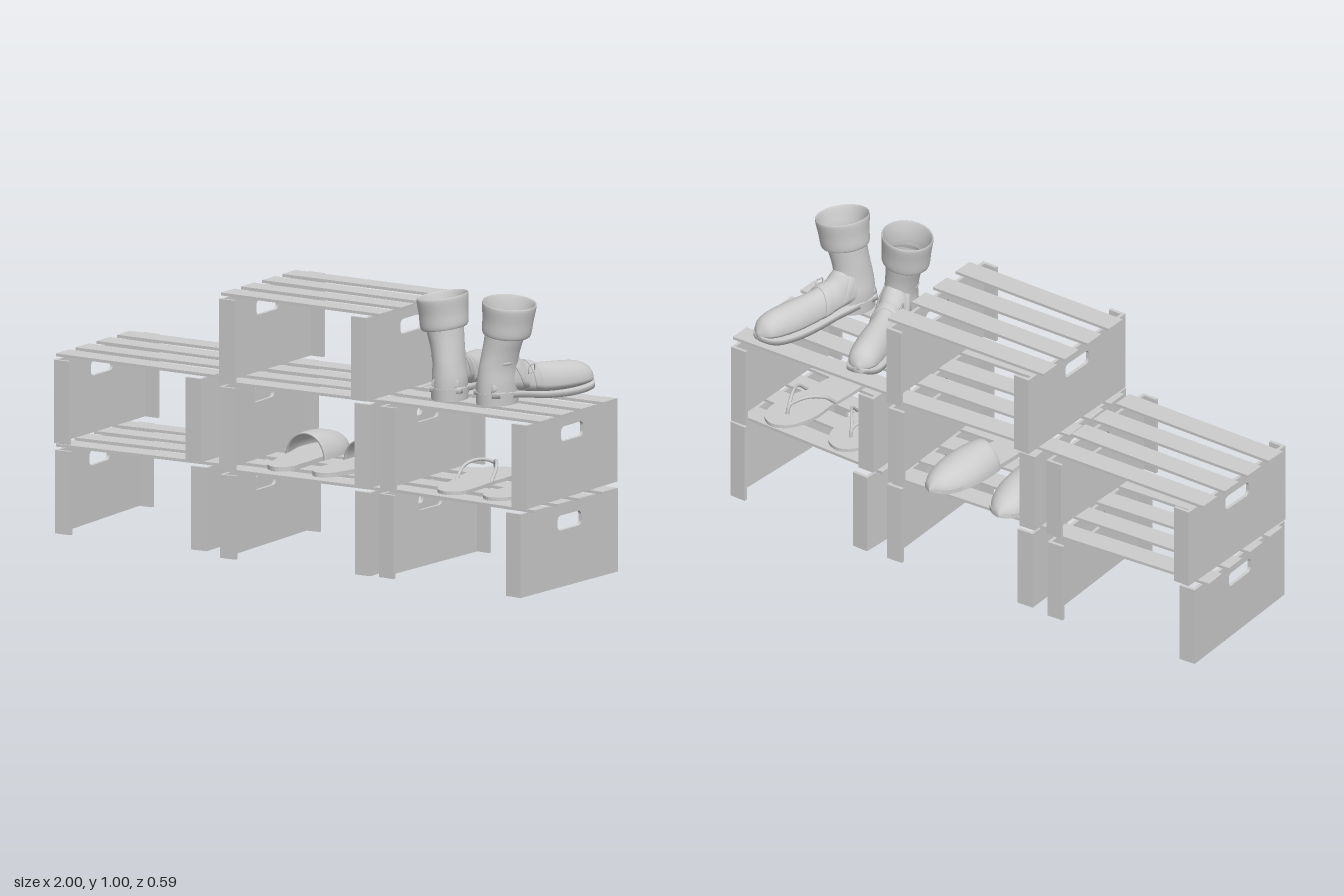
import * as THREE from 'three';

const grey = new THREE.MeshStandardMaterial({ color: 0xcccccc, side: THREE.DoubleSide });
const rad = THREE.MathUtils.degToRad;

function add(parent, name, geo, x = 0, y = 0, z = 0) {
  const m = new THREE.Mesh(geo, grey);
  m.name = name;
  m.position.set(x, y, z);
  parent.add(m);
  return m;
}

// Skin a list of rings (arrays of [x, y, z]); optionally cap both ends
function loft(rings, { closed = true, caps = false } = {}) {
  const n = rings[0].length, pos = rings.flat(2), idx = [];
  for (let r = 0; r < rings.length - 1; r++)
    for (let i = 0; i < (closed ? n : n - 1); i++) {
      const a = r * n + i, b = r * n + (i + 1) % n;
      idx.push(a, b, a + n, b, b + n, a + n);
    }
  if (caps) for (const r of [0, rings.length - 1]) {
    const c = pos.length / 3;
    for (let k = 0; k < 3; k++) pos.push(rings[r].reduce((s, p) => s + p[k], 0) / n);
    for (let i = 0; i < n; i++) {
      const a = r * n + i, b = r * n + (i + 1) % n;
      r ? idx.push(a, b, c) : idx.push(b, a, c);
    }
  }
  const g = new THREE.BufferGeometry();
  g.setAttribute('position', new THREE.Float32BufferAttribute(pos, 3));
  g.setIndex(idx);
  g.computeVertexNormals();
  return g;
}

const ring = (fn, n = 32, span = Math.PI * 2, closed = true) =>
  Array.from({ length: closed ? n : n + 1 }, (_, i) => fn(Math.cos(span * i / n), Math.sin(span * i / n)));

// Smoothly sample rows of numbers, u from 0 to 1
function sample(rows, u) {
  const f = u * (rows.length - 1), i = Math.min(Math.floor(f), rows.length - 2), t = f - i;
  return rows[i].map((_, k) => {
    const p = j => rows[THREE.MathUtils.clamp(j, 0, rows.length - 1)][k];
    const a = (p(i + 1) - p(i - 1)) / 2, b = (p(i + 2) - p(i)) / 2, d = p(i + 1) - p(i);
    return p(i) + a * t + (3 * d - 2 * a - b) * t * t + (a + b - 2 * d) * t * t * t;
  });
}
const steps = (n, fn) => Array.from({ length: n + 1 }, (_, i) => fn(i / n));

// Side panel with a rounded hand hole, in the z-y plane
function panelGeometry(h) {
  const s = new THREE.Shape([[-0.28, 0], [0.28, 0], [0.28, h], [-0.28, h]].map(p => new THREE.Vector2(...p)));
  const hole = new THREE.Path(), w = 0.068, y = h - 0.067, k = 0.026, r = 0.017;
  for (const [sx, sy, a] of [[1, 1, 0], [-1, 1, 90], [-1, -1, 180], [1, -1, 270]])
    hole.absarc(sx * (w - r), y + sy * (k - r), r, rad(a), rad(a + 90), false);
  s.holes.push(hole);
  return new THREE.ExtrudeGeometry(s, { depth: 0.012, bevelEnabled: false, curveSegments: 6 })
    .translate(0, 0, -0.006).rotateY(Math.PI / 2);
}

// Crate: two channel-shaped sides carrying four slats
function crate(x, y, yaw) {
  const g = new THREE.Group(), h = 0.29;
  g.name = 'crate';
  for (const s of [-1, 1]) {
    add(g, 'sidePanel', panelGeometry(h), s * 0.294);
    for (const f of [-1, 1])
      add(g, 'cornerFlange', new THREE.BoxGeometry(0.062, h, 0.012), s * 0.269, h / 2, f * 0.274);
  }
  [-0.192, -0.062, 0.065, 0.192].forEach((z, i) => {
    add(g, 'slat', new THREE.BoxGeometry(0.65, 0.01, 0.08), 0, h + 0.005, z)
      .rotation.y = rad([0.6, -0.4, 0.3, -0.5][i]);
  });
  g.position.set(x, y, 0);
  g.rotation.y = rad(yaw);
  return g;
}

// Boot, toe towards -z. Foot rows: z, half width, top, bottom
const FOOT = [[0.06, 0.048, 0.09, 0.045], [0, 0.054, 0.16, 0.042], [-0.06, 0.054, 0.178, 0.036], [-0.11, 0.05, 0.14, 0.028],
  [-0.18, 0.052, 0.122, 0.018], [-0.27, 0.058, 0.115, 0.014], [-0.35, 0.056, 0.106, 0.018], [-0.395, 0.043, 0.086, 0.026], [-0.42, 0.008, 0.05, 0.034]];
function footRing(u, grow = 0) {
  const [z, w, top, bot] = sample(FOOT, u), mid = bot + (top - bot) * 0.3;
  return ring((c, s) => [c * (w + grow), mid + s * (s > 0 ? top - mid + grow : mid - bot), z]);
}
function boot(x, z, yaw, side) {
  const g = new THREE.Group();
  g.name = 'boot';
  add(g, 'bootFoot', loft(steps(40, u => footRing(u)), { caps: true }));
  // Welted sole following the foot outline
  add(g, 'bootSole', loft(steps(30, u => {
    const [zz, w, , bot] = sample(FOOT, u), e = w + 0.006, b = bot + 0.008;
    return [[-e, b - 0.02, zz], [e, b - 0.02, zz], [e, b, zz], [-e, b, zz]];
  }), { caps: true }));
  add(g, 'bootHeel', new THREE.CylinderGeometry(0.064, 0.062, 0.042, 32), 0, 0.026, 0).scale.z = 1.25;
  // Leg and folded cuff, rows: y, centre x, centre z, radius x, radius z
  const tube = (rows, tilt) => loft(steps(rows.length * 6, u => {
    const [y, cx, cz, rx, rz] = sample(rows, u);
    return ring((c, s) => [cx + c * rx, y - tilt * c * rx, cz + s * rz], 40);
  }));
  add(g, 'bootLeg', tube([[0.04, 0, 0, 0.06, 0.077], [0.08, 0, 0, 0.06, 0.076], [0.13, 0.003, -0.002, 0.056, 0.073],
    [0.18, 0.01, -0.007, 0.058, 0.07], [0.23, 0.02, -0.014, 0.063, 0.072], [0.29, 0.03, -0.022, 0.068, 0.078]], 0));
  add(g, 'bootCuff', tube([[0.27, 0.026, -0.02, 0.064, 0.072], [0.246, 0.025, -0.02, 0.074, 0.08], [0.256, 0.026, -0.02, 0.082, 0.086],
    [0.3, 0.03, -0.023, 0.084, 0.09], [0.347, 0.034, -0.025, 0.088, 0.097], [0.352, 0.034, -0.025, 0.083, 0.092],
    [0.3, 0.03, -0.022, 0.07, 0.08], [0.2, 0.015, -0.01, 0.056, 0.066]], 0.15));
  // Insole closes the inside of the leg
  add(g, 'insole', new THREE.SphereGeometry(0.055, 20, 10), 0.01, 0.15, 0).scale.y = 0.3;
  // Instep straps and buckle
  for (const [u, lean] of [[0.22, 0.5], [0.4, 0.15]]) {
    const at = (v, o) => footRing(v, o).map(([a, b, c]) => [a, b, c + lean * (b - 0.12)]);
    add(g, 'strap', loft([at(u, 0), at(u, 0.006), at(u + 0.055, 0.006), at(u + 0.055, 0)]));
  }
  const buckle = add(g, 'buckle', new THREE.TorusGeometry(0.02, 0.003, 6, 4), 0.047, 0.115, -0.115);
  buckle.rotation.set(0, rad(90), rad(45));
  g.position.set(x, 0.627, z);
  g.rotation.y = rad(yaw);
  g.scale.x = side;
  return g;
}

// Flat foot-shaped sole, toe towards -z
function soleGeometry(length, toe, heel, t) {
  const l = length / 2;
  const right = [[0, l], [toe * 0.7, l * 0.86], [toe, l * 0.45], [toe * 0.85, 0], [heel, -l * 0.55], [heel * 0.75, -l * 0.88], [0, -l]];
  const left = right.slice(1, -1).reverse().map(([x, y]) => [-x, y]);
  const curve = new THREE.CatmullRomCurve3([...right, ...left].map(([x, y]) => new THREE.Vector3(x, y, 0)), true);
  const s = new THREE.Shape(curve.getPoints(48).slice(0, -1).map(p => new THREE.Vector2(p.x, p.y)));
  return new THREE.ExtrudeGeometry(s, { depth: t, bevelEnabled: false }).rotateX(-Math.PI / 2);
}

function flipFlop(x, yaw) {
  const g = new THREE.Group();
  g.name = 'flipFlop';
  add(g, 'flipFlopSole', soleGeometry(0.47, 0.082, 0.062, 0.012));
  for (const s of [-1, 1]) {
    const path = new THREE.CatmullRomCurve3([[0, 0.01, -0.15], [0, 0.04, -0.142], [s * 0.03, 0.062, -0.09],
      [s * 0.06, 0.05, -0.03], [s * 0.066, 0.01, 0.02]].map(p => new THREE.Vector3(...p)));
    add(g, 'thongStrap', new THREE.TubeGeometry(path, 24, 0.006, 8));
  }
  g.position.set(x, 0.309, 0);
  g.rotation.y = rad(yaw);
  return g;
}

function slipper(x, yaw) {
  const g = new THREE.Group();
  g.name = 'slipper';
  add(g, 'slipperSole', soleGeometry(0.5, 0.08, 0.058, 0.016));
  // Toe cover: half arches shrinking to the toe, with an inner skin
  const arches = o => steps(16, u => {
    const z = 0.02 - u * (0.275 - o), k = Math.sqrt(Math.max(0, 1 - Math.pow(u, 3.5)));
    const w = (0.076 + 0.012 * Math.sin(u * Math.PI)) * k - o, h = 0.09 * Math.sqrt(Math.max(0, 1 - u * u * 0.98)) - o;
    return ring((c, s) => [c * Math.max(w, 0.001), 0.003 + s * Math.max(h, 0.001), z], 24, Math.PI, false);
  });
  add(g, 'slipperVamp', loft([...arches(0.006).reverse(), ...arches(0)], { closed: false }));
  g.position.set(x, 0.309, -0.025);
  g.rotation.y = rad(yaw);
  return g;
}

export function createModel() {
  const model = new THREE.Group();
  model.name = 'shoeRack';
  // Crates: x, base y, yaw in degrees
  for (const c of [[-0.665, 0.01, 3], [-0.665, 0.32, 0], [0.01, 0, 2], [0.005, 0.305, 2.5], [0.01, 0.608, 0],
    [0.665, 0, -3], [0.665, 0.308, 0]]) model.add(crate(...c));
  model.add(boot(0.575, 0.165, 16, -1), boot(0.755, 0.145, -16, 1));
  model.add(flipFlop(0.575, 7), flipFlop(0.805, -7));
  model.add(slipper(-0.13, 7), slipper(0.1, -7));
  return model;
}
